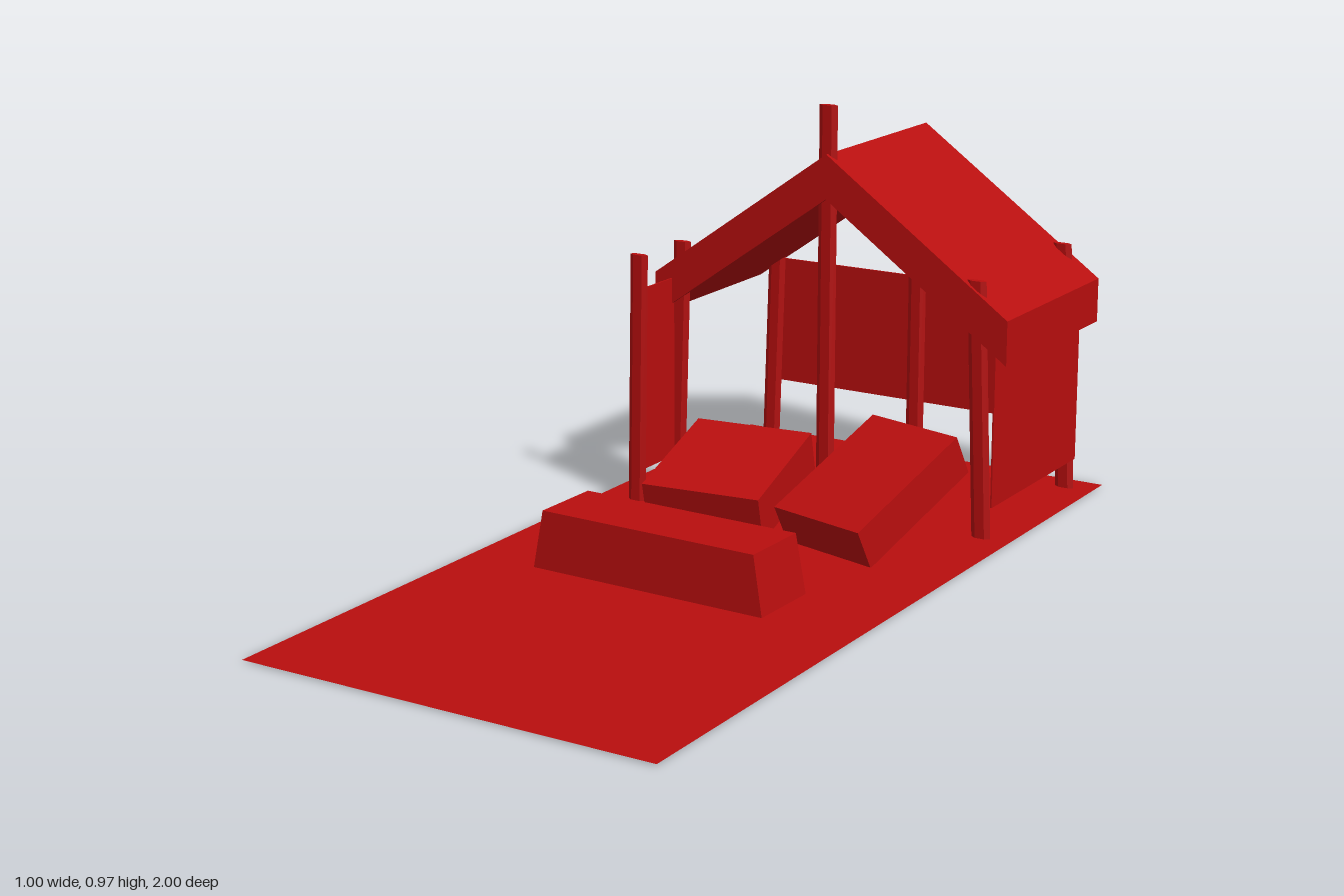
import * as THREE from 'three';

export function createModel() {
  const model = new THREE.Group();
  const red = new THREE.MeshStandardMaterial({ color: 0xb80e0e, side: THREE.DoubleSide });
  red.name = 'red';

  const add = (name, geometry, x = 0, y = 0, z = 0) => {
    const mesh = new THREE.Mesh(geometry, red);
    mesh.name = name;
    mesh.position.set(x, y, z);
    model.add(mesh);
    return mesh;
  };

  // Ground sheet
  add('ground', new THREE.PlaneGeometry(1, 2).rotateX(-Math.PI / 2), 0, 0.01, 0);

  // Open gable roof: a chevron slab with upright eave cuts
  const chevron = new THREE.Shape([
    [-0.445, 0.43], [0.022, 0.762], [0.49, 0.43],
    [0.49, 0.535], [0.022, 0.867], [-0.445, 0.535],
  ].map(([x, y]) => new THREE.Vector2(x, y)));
  add('roof', new THREE.ExtrudeGeometry(chevron, { depth: 0.495, bevelEnabled: false }), 0, 0, -0.955);

  // Flat faceted posts, sheared so that their tops lean over
  const addPost = (name, xBottom, xTop, height, z) => {
    const geo = new THREE.CylinderGeometry(0.024, 0.024, height, 6).toNonIndexed();
    geo.rotateY(Math.PI / 6);
    geo.scale(1, 1, 0.38);
    geo.rotateY(0);
    const p = geo.attributes.position;
    for (let i = 0; i < p.count; i++) {
      const t = p.getY(i) / height + 0.5;
      p.setX(i, p.getX(i) + xBottom + (xTop - xBottom) * t);
    }
    geo.computeVertexNormals();
    add(name, geo, 0, 0.012 + height / 2, z);
  };
  const rows = [['front', -0.477, 0.967], ['back', -0.932, 0.79]];
  for (const [row, z, ridgeHeight] of rows) {
    addPost(row + 'LeftPost', 0.43, 0.404, 0.603, z);
    addPost(row + 'RightPost', -0.397, -0.378, 0.603, z);
    addPost(row + 'RidgePost', 0.018, 0.018, ridgeHeight, z);
  }
  addPost('screenPost', -0.397, -0.386, 0.603, -0.3);

  // Thin wall panels
  add('backWall', new THREE.BoxGeometry(0.82, 0.32, 0.004), 0.015, 0.325, -0.942);
  add('leftWall', new THREE.BoxGeometry(0.004, 0.42, 0.455), 0.453, 0.297, -0.705);
  add('screenWall', new THREE.BoxGeometry(0.004, 0.445, 0.175), -0.4, 0.302, -0.388);

  // Low bench block, tapering a little towards its top
  const bench = new THREE.BoxGeometry(0.583, 0.132, 0.175).toNonIndexed();
  const b = bench.attributes.position;
  for (let i = 0; i < b.count; i++) {
    if (b.getY(i) > 0) b.setXYZ(i, b.getX(i) * 0.92, b.getY(i), b.getZ(i) * 0.96);
  }
  bench.computeVertexNormals();
  add('bench', bench, 0.05, 0.126, 0.26).rotation.y = -0.022;

  // Two loungers tilted up towards the shelter, placed by their top centres
  const addLounger = (name, [w, h, d], [x, y, z], yaw, pitch) => {
    const mesh = add(name, new THREE.BoxGeometry(w, h, d).translate(0, -h / 2, 0), x, y, z);
    mesh.rotation.set(pitch, yaw, 0, 'YXZ');
  };
  addLounger('rightLounger', [0.295, 0.113, 0.315], [-0.146, 0.155, -0.304], 0.115, 0.25);
  addLounger('leftLounger', [0.26, 0.102, 0.36], [0.215, 0.177, -0.315], -0.25, 0.44);

  return model;
}
